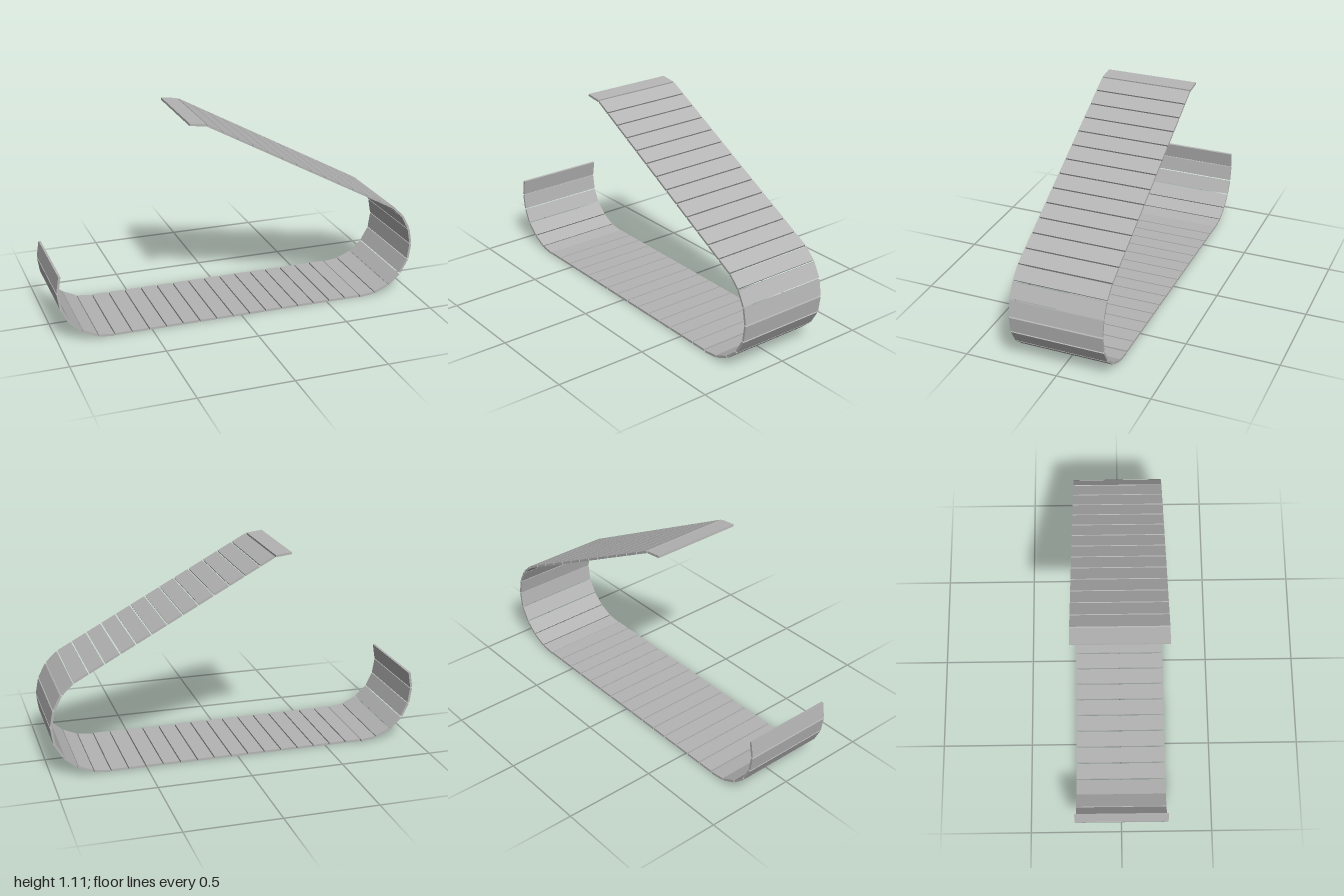
import * as THREE from 'three';

const WIDTH = 0.5, THICK = 0.012, GAP = 0.007;

export function createModel() {
  const group = new THREE.Group();
  group.name = 'trackBelt';
  const steel = new THREE.MeshStandardMaterial({ color: 0xb4b4b4 });
  steel.name = 'steelGrey';

  // One flat link spanning two joints, with a small gap at its ends
  let count = 0;
  const addLink = (x0, y0, x1, y1) => {
    const length = Math.hypot(x1 - x0, y1 - y0) - GAP;
    const link = new THREE.Mesh(new THREE.BoxGeometry(length, THICK, WIDTH), steel);
    link.position.set((x0 + x1) / 2, (y0 + y1) / 2, 0);
    link.rotation.z = Math.atan2(y1 - y0, x1 - x0);
    link.name = `trackLink${++count}`;
    group.add(link);
  };

  // A run of links through a list of joints
  const addCurve = (joints) => {
    for (let i = 1; i < joints.length; i++) addLink(...joints[i - 1], ...joints[i]);
  };

  // A straight run split into equal links
  const addStraight = (a, b, n) => {
    const at = (t) => [a[0] + (b[0] - a[0]) * t, a[1] + (b[1] - a[1]) * t];
    for (let i = 0; i < n; i++) addLink(...at(i / n), ...at((i + 1) / n));
  };

  // Open end curling up
  addCurve([[-0.979, 0.382], [-0.994, 0.288], [-0.98, 0.2], [-0.942, 0.122],
    [-0.876, 0.06], [-0.794, 0.02], [-0.706, 0.008]]);
  // Ground run
  addStraight([-0.706, 0.012], [0.694, 0.012], 15);
  // Curve around the far end
  addCurve([[0.694, 0.008], [0.783, 0.018], [0.866, 0.054], [0.934, 0.114],
    [0.98, 0.194], [0.993, 0.286], [0.976, 0.377], [0.934, 0.457], [0.872, 0.516]]);
  // Sloping upper run
  addStraight([0.872, 0.516], [-0.194, 1.095], 13);
  // Top end link
  addCurve([[-0.194, 1.095], [-0.287, 1.106]]);

  return group;
}
